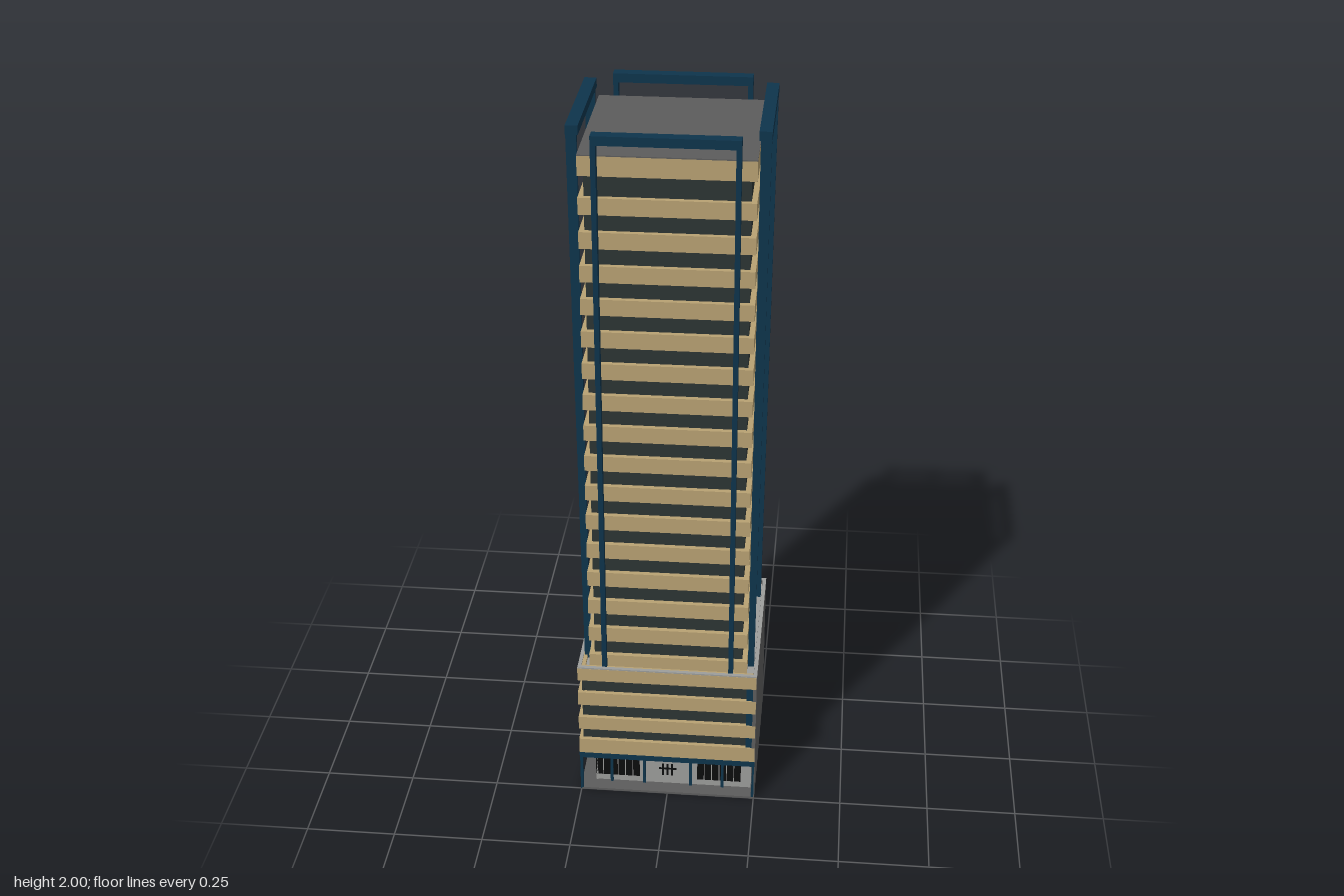
import * as THREE from 'three';

const mat = (name, color, side = THREE.FrontSide) => {
  const m = new THREE.MeshStandardMaterial({ color, side });
  m.name = name;
  return m;
};

export function createModel() {
  const model = new THREE.Group();
  model.name = 'officeTower';

  const tan = mat('tan stone', 0xb8a172);
  const glass = mat('dark glass', 0x2c3433, THREE.DoubleSide);
  const navy = mat('navy steel', 0x0e344c);
  const grey = mat('grey concrete', 0x5c5c5c, THREE.DoubleSide);
  const pale = mat('pale grey', 0x9c9d9b, THREE.DoubleSide);
  const black = mat('black display', 0x0b0c0c);

  // box given by its min and max corners
  const box = (parent, name, material, x0, x1, y0, y1, z0, z1) => {
    const mesh = new THREE.Mesh(
      new THREE.BoxGeometry(Math.abs(x1 - x0), y1 - y0, z1 - z0), material);
    mesh.position.set((x0 + x1) / 2, (y0 + y1) / 2, (z0 + z1) / 2);
    mesh.name = name;
    parent.add(mesh);
    return mesh;
  };

  // Tower: glass core, tan floor bands and flat roof
  const tower = new THREE.Group();
  tower.name = 'tower';
  model.add(tower);
  box(tower, 'towerGlass', glass, -0.208, 0.208, 0.42, 1.9, -0.208, 0.208);
  for (let i = 0; i < 16; i++) {
    const top = 1.828 - i * 0.0913;
    box(tower, 'floorBand', tan, -0.222, 0.222, Math.max(top - 0.045, 0.418), top, -0.222, 0.222);
  }
  box(tower, 'topBand', tan, -0.222, 0.222, 1.885, 1.937, -0.222, 0.222);
  box(tower, 'towerRoof', grey, -0.222, 0.222, 1.937, 1.94, -0.222, 0.222);

  // Steel portal frames, one per face, legs leaning slightly outward
  for (let k = 0; k < 4; k++) {
    const frame = new THREE.Group();
    frame.name = 'steelFrame';
    frame.rotation.y = k * Math.PI / 2;
    tower.add(frame);
    box(frame, 'frameBeam', navy, -0.184, 0.184, 1.976, 2, 0.222, 0.254);
    for (const s of [-1, 1]) {
      const leg = box(frame, 'frameLeg', navy, s * 0.171, s * 0.184, 0.418, 1.978, 0.223, 0.24);
      const p = leg.geometry.attributes.position;
      for (let i = 0; i < p.count; i++)
        if (p.getY(i) > 0) p.setZ(i, p.getZ(i) + (p.getZ(i) > 0 ? 0.013 : 0.003));
      leg.geometry.computeVertexNormals();
    }
  }

  // Podium: two blank walls, terrace and coping
  const podium = new THREE.Group();
  podium.name = 'podium';
  model.add(podium);
  box(podium, 'blankSideWall', grey, 0.242, 0.252, 0, 0.43, -0.252, 0.252);
  box(podium, 'blankBackWall', grey, -0.252, 0.242, 0, 0.43, -0.252, -0.242);
  box(podium, 'terrace', pale, -0.243, 0.243, 0.412, 0.418, -0.243, 0.243);
  for (let k = 0; k < 4; k++) {
    const side = new THREE.Group();
    side.name = 'copingSide';
    side.rotation.y = k * Math.PI / 2;
    podium.add(side);
    box(side, 'coping', pale, -0.2525, 0.2425, 0.428, 0.432, 0.2425, 0.2525);
  }

  // Banded street facade; s is the side on which it meets a blank wall
  const facade = (name, s) => {
    const g = new THREE.Group();
    g.name = name;
    podium.add(g);
    const open = -0.252 * s, end = 0.251 * s;
    for (const [y0, y1] of [[0.388, 0.428], [0.303, 0.346], [0.218, 0.26], [0.134, 0.182]])
      box(g, 'podiumBand', tan, open, end, y0, y1, 0.232, 0.253);
    box(g, 'podiumGlass', glass, -0.242 * s, 0.243 * s, 0.134, 0.412, 0.236, 0.241);
    box(g, 'cornerColumn', navy, 0.224 * s, end, 0.134, 0.412, 0.237, 0.25);
    box(g, 'canopyBeam', navy, open, end, 0.116, 0.134, 0.236, 0.253);
    box(g, 'arcadeSoffit', navy, -0.245 * s, 0.243 * s, 0.116, 0.122, 0.205, 0.237);
    box(g, 'arcadeFloor', grey, open, end, 0, 0.006, 0.205, 0.252);
    box(g, 'shopWall', pale, -0.212 * s, 0.243 * s, 0.005, 0.118, 0.206, 0.21);

    // posts and door frame
    for (const x of [-0.165, -0.07, 0.065, 0.157])
      box(g, 'shopPost', navy, x - 0.004, x + 0.004, 0.005, 0.118, 0.208, 0.217);
    for (const x of [-0.248, 0.246])
      box(g, 'cornerPost', navy, x - 0.004, x + 0.004, 0, 0.118, 0.244, 0.252);

    // shop displays: a row of uneven dark panels seen from both faces
    const heights = [0.094, 0.102, 0.1, 0.104, 0.097, 0.103];
    for (const side of [-1, 1])
      heights.forEach((h, i) => {
        const x = side * (0.084 + i * 0.0215);
        box(g, 'shopDisplay', black, x, x + side * 0.019, 0.026, h, 0.204, 0.212);
      });
    // entrance door fittings
    box(g, 'doorRail', black, -0.028, 0.023, 0.056, 0.061, 0.204, 0.212);
    for (const x of [-0.016, -0.003, 0.01])
      box(g, 'doorHandle', black, x - 0.003, x + 0.003, 0.035, 0.075, 0.204, 0.212);
    return g;
  };
  facade('frontFacade', 1);
  facade('sideFacade', -1).rotation.y = -Math.PI / 2;

  return model;
}
